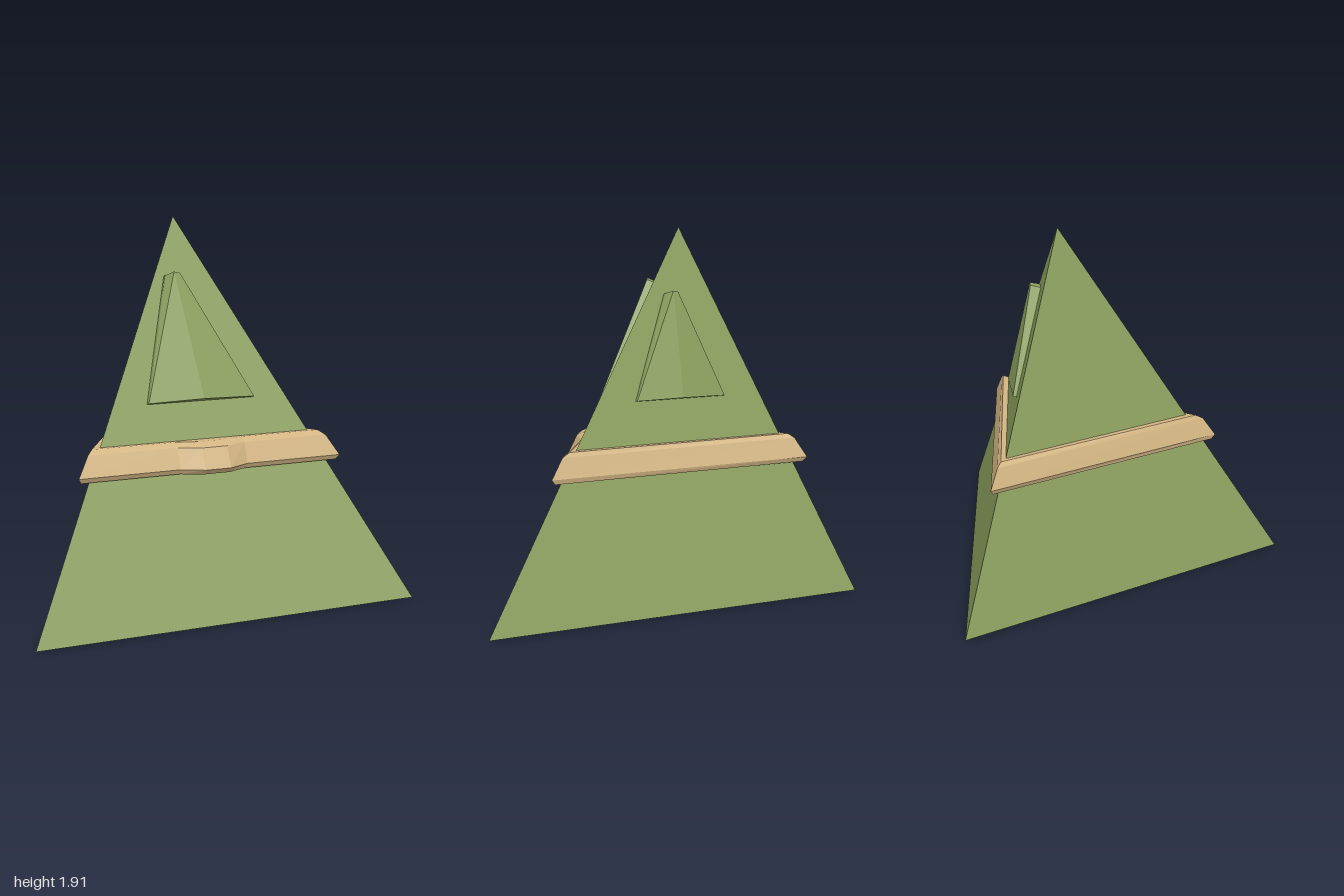
import * as THREE from 'three';
import { ConvexGeometry } from 'three/addons/geometries/ConvexGeometry.js';

const V = (x, y, z) => new THREE.Vector3(x, y, z);
const green = new THREE.MeshStandardMaterial({ color: 0x8ca05e, flatShading: true });
const tan = new THREE.MeshStandardMaterial({ color: 0xd2b482, flatShading: true });
const APEX = V(0, 1.915, 0.083);

function addMesh(group, name, geometry, material) {
  const mesh = new THREE.Mesh(geometry, material);
  mesh.name = name;
  group.add(mesh);
}

// Faceted wedge lying on a sloping face; points are (across, height 0..1, raise)
function wedge(edgeMid, right, halfWidth, y0, y1) {
  const up = APEX.clone().sub(edgeMid);
  const normal = right.clone().cross(up).normalize();
  const k = halfWidth / 0.29;
  const points = [
    [-0.29, 0, -0.01], [0.29, 0, -0.01], [-0.1, 0.99, -0.01], [-0.03, 0.99, -0.01],
    [-0.285, 0, 0.018], [0.285, 0, 0.018], [0, 0, 0.047], // lower edge
    [-0.1, 0.99, 0.02], [-0.065, 1, 0.06], [-0.032, 0.99, 0.055], // blunt tip
  ].map(([u, t, raise]) => edgeMid.clone()
    .addScaledVector(up, (y0 + (y1 - y0) * t) / APEX.y)
    .addScaledVector(right, u * k)
    .addScaledVector(normal, raise));
  return new ConvexGeometry(points);
}

// Triangular band: each level is [half width, front z, back z, y, bulge depth]
function bandGeometry() {
  const levels = [
    [0.60, 0.55, -0.48, 0.695, 0],
    [0.685, 0.60, -0.575, 0.695, 0.05],
    [0.70, 0.613, -0.597, 0.72, 0.057],
    [0.64, 0.572, -0.53, 0.82, 0.048],
    [0.61, 0.542, -0.495, 0.842, 0.03],
    [0.54, 0.50, -0.42, 0.842, 0],
  ];
  const loops = levels.map(([a, zf, zb, y, b]) => [
    V(-a, y, zf), V(-0.18, y, zf), V(-0.07, y, zf + b),
    V(0.065, y, zf + b), V(0.18, y, zf), V(a, y, zf), V(0, y, zb),
  ]);
  const points = [];
  for (let j = 0; j < loops.length - 1; j++) {
    for (let i = 0; i < 7; i++) {
      const n = (i + 1) % 7;
      const a = loops[j][i], b = loops[j][n], c = loops[j + 1][n], d = loops[j + 1][i];
      points.push(a, b, c, a, c, d);
    }
  }
  const geometry = new THREE.BufferGeometry().setFromPoints(points);
  geometry.computeVertexNormals();
  return geometry;
}

export function createModel() {
  const group = new THREE.Group();
  group.name = 'bandedPyramid';

  // Three-sided body
  const corners = [V(-1, 0, 0.863), V(1, 0, 0.863), V(0, 0, -0.863), APEX];
  addMesh(group, 'pyramidBody', new ConvexGeometry(corners), green);

  // Band with a bulge on the front
  addMesh(group, 'band', bandGeometry(), tan);

  // Raised wedges on the front and +x faces
  addMesh(group, 'frontWedge', wedge(V(0, 0, 0.863), V(1, 0, 0), 0.29, 1.02, 1.625), green);
  const sideRight = V(-1, 0, -1.726).normalize();
  addMesh(group, 'sideWedge', wedge(V(0.5, 0, 0), sideRight, 0.245, 1.055, 1.585), green);

  return group;
}
